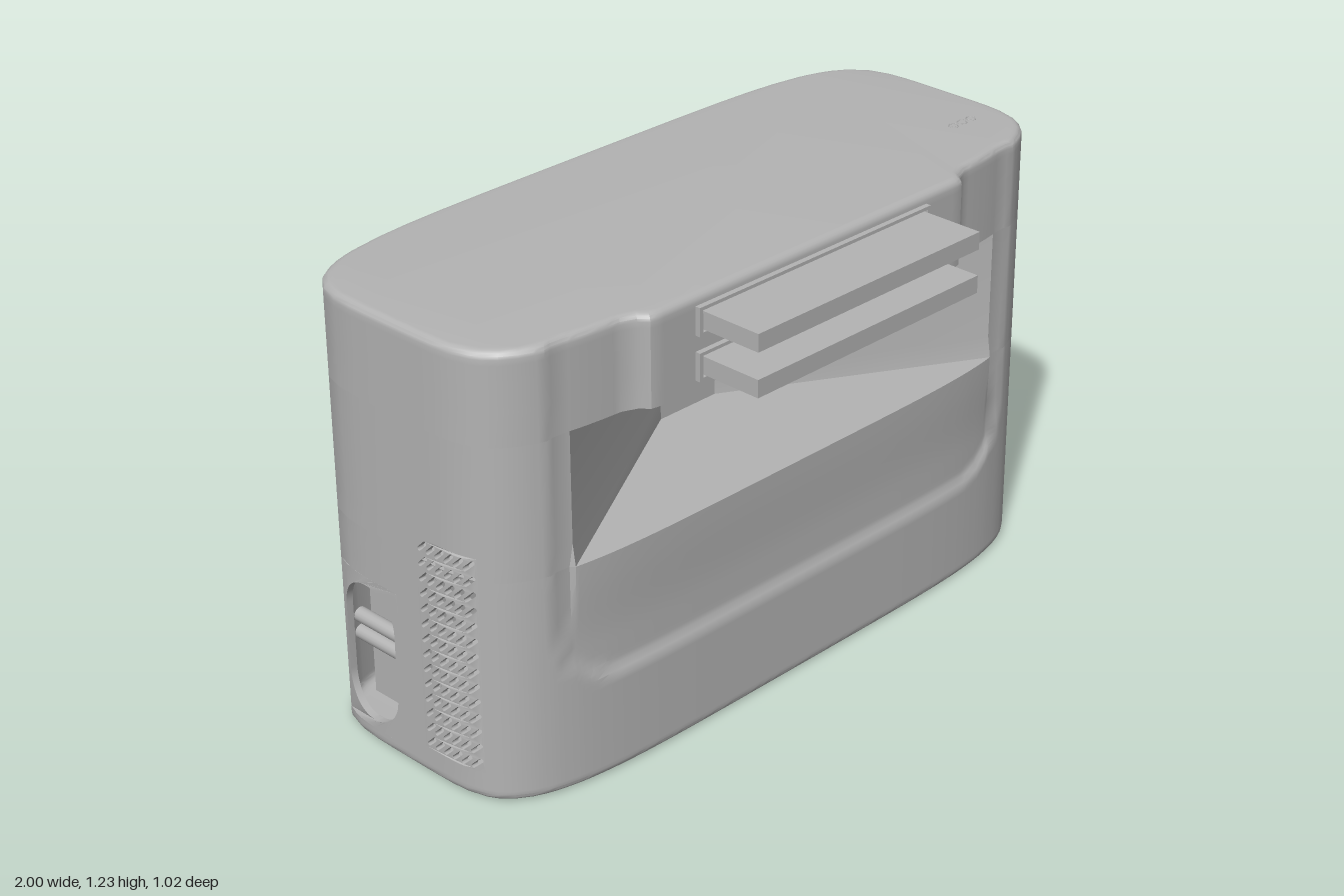
import * as THREE from 'three';
import { toCreasedNormals } from 'three/addons/utils/BufferGeometryUtils.js';

const grey = new THREE.MeshStandardMaterial({ color: 0xb3b3b3, side: THREE.DoubleSide });
grey.name = 'casing grey';

// Plan of the casing: a superellipse, 1 x 0.4 half size, centred on z = -0.1
const MID = -0.1, HALF = 0.4, POW = 5;
const halfDepth = x => HALF * Math.pow(1 - Math.pow(Math.abs(x), POW), 1 / POW);
const halfWidth = z => Math.pow(1 - Math.pow(Math.abs(z - MID) / HALF, POW), 1 / POW);
const smooth = (a, b, v) => THREE.MathUtils.smoothstep(v, a, b);

// Points around the plan: front, +x side, back, -x side
const frontX = [-0.86, -0.77, -0.1, 0.1, 0.77, 0.86];
for (let i = -42; i <= 42; i++) if (i % 5) frontX.push(i * 0.02);
frontX.sort((a, b) => a - b);
const sideZ = [0.25, 0.235, 0.21, 0.18, 0.155, 0.1, 0.05, 0, -0.04, -0.08, -0.12, -0.18, -0.24, -0.3, -0.36, -0.41, -0.435, -0.45];
const backX = [0.86, 0.83, 0.8, 0.71, 0.62, 0.5, 0.35, 0.2, 0, -0.2, -0.35, -0.5, -0.62, -0.71, -0.8, -0.83, -0.86];
const plan = [
  ...frontX.map(x => ({ x, z: MID + halfDepth(x), front: true })),
  ...sideZ.map(z => ({ x: halfWidth(z), z })),
  ...backX.map(x => ({ x, z: MID - halfDepth(x) })),
  ...[...sideZ].reverse().map(z => ({ x: -halfWidth(z), z })),
];
// The middle band is notched by the tapering cavity
const notched = plan.filter(p => !(p.front && Math.abs(p.x) < 0.765));
notched.splice(notched.findIndex(p => p.front && p.x > 0), 0,
  { x: -0.1, z: -0.115 }, { x: 0.1, z: -0.115 });

// Depth of the shallow U-shaped recess in the front
function recess(x, y) {
  const qx = Math.abs(x) - 0.64, qy = 0.47 - y;
  const d = Math.hypot(Math.max(qx, 0), Math.max(qy, 0)) + Math.min(Math.max(qx, qy), 0) - 0.2;
  const lip = y <= 0.62 && Math.abs(x) < 0.78 ? 0.6 * smooth(0.38, 0.62, y) : 0;
  return 0.015 * smooth(0, 0.035, -d) * (1 - lip);
}

function ring(points, y, inset, bump) {
  return points.map(p => {
    let z = p.z;
    if (p.front) {
      z -= recess(p.x, y);
      if (bump) z = THREE.MathUtils.lerp(0.322, z, smooth(0.55, 0.6, Math.abs(p.x)));
    }
    return new THREE.Vector3(p.x * (1 - inset), y, MID + (z - MID) * (1 - inset / HALF));
  });
}

// Rectangles left out of the shell, later filled with pierced panels
const windows = [
  { name: 'leftVent', side: 1, c: [-0.04, 0.155], y: [0.08, 0.68], holes: ventHoles() },
  { name: 'rightVent', side: -1, c: [-0.04, 0.155], y: [0.08, 0.68], holes: ventHoles() },
  { name: 'socketOpening', side: -1, c: [-0.36, -0.12], y: [0.04, 0.48], holes: [slot(-0.24, 0.26, 0.39, 0.1, Math.PI / 2)] },
];
const dimples = [];
for (const s of [-1, 1]) for (const [x, y] of [[0.72, 0.09], [0.69, 1.13]]) {
  dimples.push([s * x, y]);
  windows.push({
    name: 'screwPanel', back: true, c: s > 0 ? [0.62, 0.8] : [-0.8, -0.62], y: [y - 0.06, y + 0.06],
    holes: [new THREE.Path().absarc(s * x, y, 0.036, 0, Math.PI * 2, true)],
  });
}

// Rounded slot of full length len and half width r, turned by angle a
function slot(cx, cy, len, r, a) {
  const h = len / 2 - r, path = new THREE.Path();
  path.absarc(cx + h * Math.cos(a), cy + h * Math.sin(a), r, a - Math.PI / 2, a + Math.PI / 2, false);
  path.absarc(cx - h * Math.cos(a), cy - h * Math.sin(a), r, a + Math.PI / 2, a + Math.PI * 1.5, false);
  path.closePath();
  return path;
}

function ventHoles() {
  const out = [];
  for (let i = 0; i < 6; i++) for (let j = 0; j < 14; j++)
    out.push(slot(-0.017 + i * 0.03, 0.102 + j * 0.0427, 0.042, 0.0058, Math.PI / 4));
  return out;
}

function isOpen(m) {
  return windows.some(w => {
    const c = w.back ? m.x : m.z;
    const onFace = w.back ? m.z < -0.4 : m.x * w.side > 0.9;
    return onFace && c > w.c[0] && c < w.c[1] && m.y > w.y[0] && m.y < w.y[1];
  });
}

// Shell through a stack of rings, rows given as [y, inset]
function shell(points, rows, bump, capLow, capHigh) {
  const rings = rows.map(([y, inset]) => ring(points, y, inset, bump));
  const pos = [], n = points.length;
  const tri = (...v) => v.forEach(p => pos.push(p.x, p.y, p.z));
  for (let i = 0; i + 1 < rings.length; i++) for (let j = 0; j < n; j++) {
    const k = (j + 1) % n, a = rings[i][j], b = rings[i][k], c = rings[i + 1][k], d = rings[i + 1][j];
    if (isOpen(a.clone().add(c).multiplyScalar(0.5))) continue;
    tri(a, b, c);
    tri(a, c, d);
  }
  const cap = (r, up) => {
    const flat = r.map(p => new THREE.Vector2(p.x, -p.z));
    for (const [a, b, c] of THREE.ShapeUtils.triangulateShape(flat, []))
      up ? tri(r[a], r[b], r[c]) : tri(r[a], r[c], r[b]);
  };
  if (capLow) cap(rings[0], false);
  if (capHigh) cap(rings[rings.length - 1], true);
  const geo = new THREE.BufferGeometry();
  geo.setAttribute('position', new THREE.Float32BufferAttribute(pos, 3));
  return toCreasedNormals(geo, 0.5);
}

// Pierced panel bent to follow the casing
function panel(w) {
  const [c0, c1] = w.c, [y0, y1] = w.y, pts = [];
  for (let i = 0; i <= 6; i++) pts.push(new THREE.Vector2(c0 + (c1 - c0) * i / 6, y0));
  for (let i = 6; i >= 0; i--) pts.push(new THREE.Vector2(c0 + (c1 - c0) * i / 6, y1));
  const shape = new THREE.Shape(pts);
  shape.holes = w.holes;
  const geo = new THREE.ExtrudeGeometry(shape, { depth: 0.02, bevelEnabled: false, curveSegments: w.holes.length > 9 ? 4 : 16 });
  const p = geo.attributes.position;
  for (let i = 0; i < p.count; i++) {
    const c = p.getX(i), y = p.getY(i), d = p.getZ(i);
    if (w.back) p.setXYZ(i, c, y, MID - halfDepth(c) + d);
    else p.setXYZ(i, w.side * (halfWidth(c) - d), y, c);
  }
  return toCreasedNormals(geo, 0.5);
}

export function createModel() {
  const model = new THREE.Group();
  const add = (name, geo, x = 0, y = 0, z = 0) => {
    const mesh = new THREE.Mesh(geo, grey);
    mesh.name = name;
    mesh.position.set(x, y, z);
    model.add(mesh);
    return mesh;
  };

  // Casing: lower box, notched middle, upper band with raised plate
  const R = 0.02, fillet = [0, 0.25, 0.5, 0.75, 1].map(t => [R * (1 - Math.sin(t * Math.PI / 2)), R * (1 - Math.cos(t * Math.PI / 2))]);
  const low = [...fillet].reverse();
  for (const y of [0.03, 0.04, 0.08, 0.15, 0.2]) low.push([y, 0]);
  for (let y = 0.24; y < 0.475; y += 0.015) low.push([y, 0]);
  for (const y of [0.48, 0.52, 0.57, 0.62]) low.push([y, 0]);
  add('lowerCasing', shell(plan, low, false, true, true));
  add('cavityBand', shell(notched, [[0.62, 0], [0.68, 0], [0.98, 0]], false, false, false));
  const high = [[0.98, 0], [1.07, 0], [1.19, 0], ...fillet.map(([h, i]) => [1.225 - h, i])].map(([y, i]) => [y, i]);
  high.splice(3, fillet.length, ...fillet.map(([h, i]) => [1.225 - h, i]).sort((a, b) => a[0] - b[0]));
  add('upperCasing', shell(plan, high, true, true, true));
  windows.forEach(w => add(w.name, panel(w)));

  // Conical screw wells in the back
  const well = new THREE.LatheGeometry([[0, -0.045], [0.014, -0.045], [0.018, -0.03], [0.036, 0.002]].map(p => new THREE.Vector2(...p)), 24);
  well.rotateX(-Math.PI / 2);
  for (const [x, y] of dimples) add('screwWell', well, x, y, MID - halfDepth(x) + 0.003);

  // Hanging hooks and small holes on the back
  for (const x of [-0.62, 0.62]) for (const y of [0.215, 0.965])
    add('hook', new THREE.CapsuleGeometry(0.009, 0.095, 6, 12).rotateZ(Math.PI / 2), x, y, -0.501);
  for (const x of [-0.255, 0.255]) add('pinHole', new THREE.TorusGeometry(0.011, 0.003, 8, 16), x, 0.23, -0.499);

  // Socket behind the oval opening
  add('socketBack', new THREE.BoxGeometry(0.01, 0.44, 0.26), -0.88, 0.26, -0.24);
  for (const y of [0.235, 0.285])
    add('socketBar', new THREE.CylinderGeometry(0.02, 0.02, 0.26, 16).rotateX(Math.PI / 2), -0.92, y, -0.24);
  add('innerBlock', new THREE.BoxGeometry(0.1, 0.05, 0.12), 0, 0.3, 0.09);

  // Two flat blades in framed slots
  for (const y of [1.041, 1.16]) {
    const frame = new THREE.Shape([[-0.416, -0.038], [0.416, -0.038], [0.416, 0.038], [-0.416, 0.038]].map(p => new THREE.Vector2(...p)));
    frame.holes.push(new THREE.Path([[-0.405, -0.029], [-0.405, 0.029], [0.405, 0.029], [0.405, -0.029]].map(p => new THREE.Vector2(...p))));
    add('slotFrame', new THREE.ExtrudeGeometry(frame, { depth: 0.03, bevelEnabled: false }), 0, y, 0.307);
    add('blade', new THREE.BoxGeometry(0.8, 0.048, 0.21), 0, y, 0.405);
  }

  // Indicator rings on top
  for (const x of [0.81, 0.845, 0.88])
    add('indicator', new THREE.TorusGeometry(0.013, 0.002, 6, 20).rotateX(Math.PI / 2), x, 1.225, 0.08);

  return model;
}
